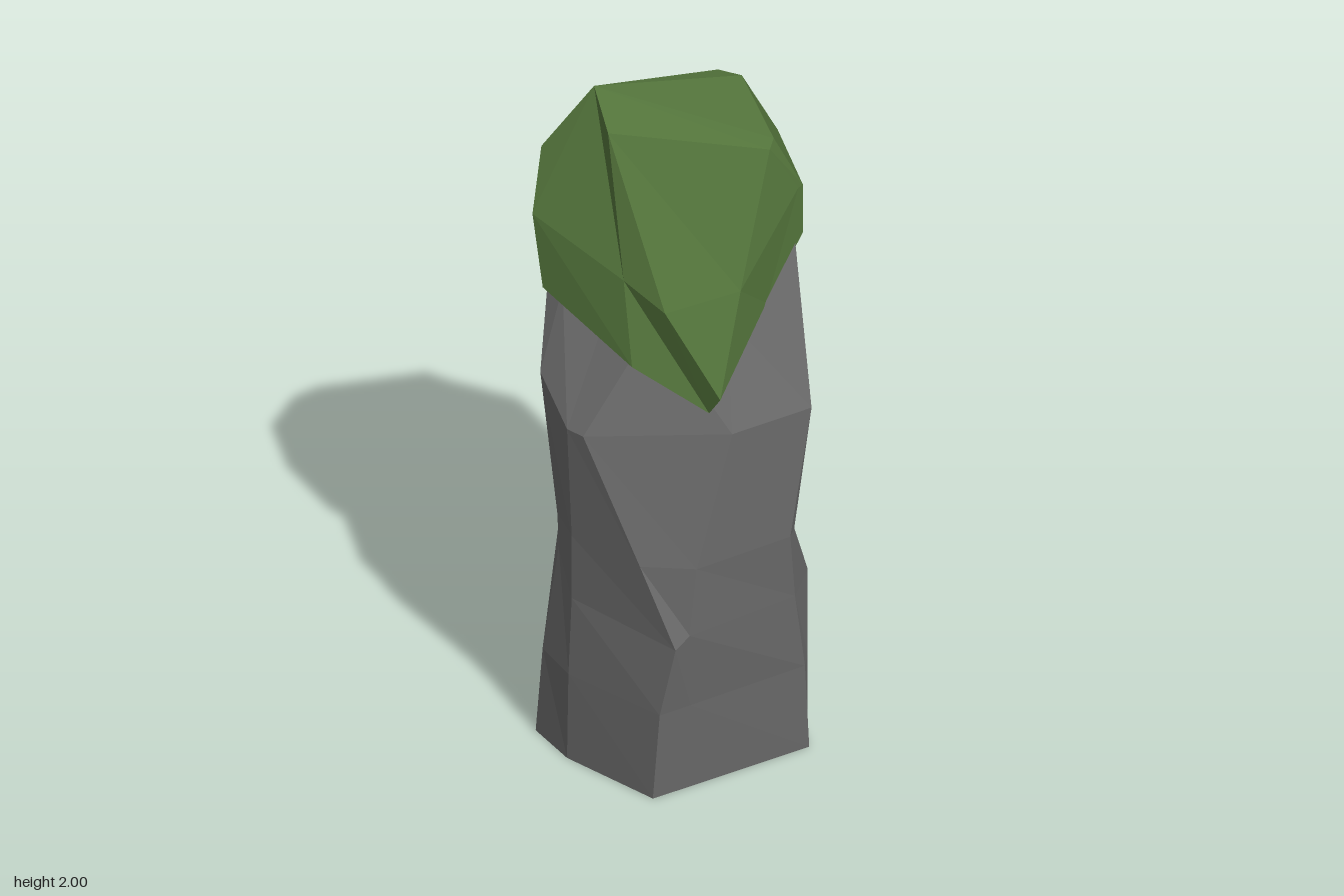
import * as THREE from 'three';

// Skins a stack of rings (bottom to top, equal point counts) and closes both ends.
function loft(rings, bottomCentre, topCentre) {
  const pos = [];
  const tri = (a, b, c) => {
    const area = new THREE.Triangle(
      new THREE.Vector3(...a), new THREE.Vector3(...b), new THREE.Vector3(...c)).getArea();
    if (area > 1e-7) pos.push(...a, ...b, ...c);
  };
  const n = rings[0].length, first = rings[0], last = rings[rings.length - 1];
  for (let i = 0; i < n; i++) {
    const k = (i + 1) % n;
    for (let j = 0; j < rings.length - 1; j++) {
      const a = rings[j][i], b = rings[j][k], c = rings[j + 1][i], d = rings[j + 1][k];
      tri(a, c, d);
      tri(a, d, b);
    }
    tri(bottomCentre, first[i], first[k]);
    tri(topCentre, last[k], last[i]);
  }
  const g = new THREE.BufferGeometry();
  g.setAttribute('position', new THREE.Float32BufferAttribute(pos, 3));
  g.computeVertexNormals();
  return g;
}

// Gives a plan outline of [x, z] pairs a height; a third value overrides it.
const level = (y, pts) => pts.map(([x, z, own]) => [x, own ?? y, z]);

// Outline part of the way from one ring to another, set at height y.
const between = (a, b, t, y) => a.map((p, i) =>
  [THREE.MathUtils.lerp(p[0], b[i][0], t), y, THREE.MathUtils.lerp(p[2], b[i][2], t)]);

export function createModel() {
  const model = new THREE.Group();

  // Rock pillar: rings run right, front, left, back
  const foot = level(0, [[0.42, -0.07], [0.3, 0.3], [0.26, 0.42], [-0.06, 0.42], [-0.22, 0.37],
    [-0.32, 0.23], [-0.42, -0.07], [-0.02, -0.38], [0.03, -0.345], [0.2, -0.225], [0.4, -0.085]]);
  const waist = level(0.53, [[0.41, -0.02], [0.32, 0.33], [0.31, 0.38, 0.5], [-0.06, 0.4],
    [-0.16, 0.34, 0.63], [-0.35, 0.1, 0.63], [-0.42, -0.07], [-0.14, -0.345], [0.05, -0.34],
    [0.2, -0.26], [0.345, -0.15]]);
  const notch = level(0.74, [[0.41, 0], [0.32, 0.3], [0.19, 0.395], [-0.06, 0.4], [-0.165, 0.34],
    [-0.35, 0.11], [-0.415, -0.07], [-0.14, -0.345, 0.82], [0.05, -0.34, 0.82],
    [0.17, -0.29, 0.85], [0.39, -0.04]]);
  const shoulders = level(1.14, [[0.42, -0.08], [0.34, 0.17], [0, 0.42, 1.11], [-0.06, 0.42, 1.11],
    [-0.22, 0.35, 1.2], [-0.34, 0.18], [-0.415, -0.08], [-0.05, -0.37], [0.02, -0.32],
    [0.2, -0.235], [0.4, -0.095]]);
  const neck = level(1.42, [[0.245, -0.21, 1.58], [0.22, 0.05], [0.08, 0.21], [-0.08, 0.21],
    [-0.24, 0.23], [-0.365, 0.13, 1.53], [-0.385, -0.02, 1.5], [-0.03, -0.31], [0.05, -0.3],
    [0.15, -0.26], [0.245, -0.21, 1.58]]);
  const rock = new THREE.Mesh(
    loft([foot, between(foot, waist, 0.3, 0.28), waist, notch, shoulders, neck],
      [0, 0, 0], [-0.05, 1.62, -0.02]),
    new THREE.MeshStandardMaterial({ color: 0x686868, flatShading: true }));
  rock.name = 'rockPillar';
  model.add(rock);

  // Moss cap: ragged hem, shoulder and tilted crown
  const right = [0.23, 1.91, -0.12], front = [-0.14, 1.94, 0.15];
  const peak = [-0.27, 2, 0.06], left = [-0.32, 1.91, -0.05];
  const hem = [[0.26, 1.43, -0.07], [0.33, 1.27, 0.21], [0.28, 1.2, 0.2], [0.07, 1.31, 0.29],
    [-0.28, 1.42, 0.27], [-0.35, 1.6, 0.23], [-0.425, 1.14, 0.01],
    [-0.34, 0.97, -0.17], [-0.02, 1.2, -0.41], [0.01, 1.25, -0.42], [0.25, 1.58, -0.24]];
  const bulge = [[0.25, 1.74, -0.22], [0.285, 1.55, 0.07], [0.15, 1.5, 0.24], [0, 1.55, 0.245],
    [-0.34, 1.63, 0.245], [-0.38, 1.8, 0.16], [-0.42, 1.72, 0],
    [-0.35, 1.72, -0.14], [-0.1, 1.78, -0.345], [0, 1.73, -0.42], [0.25, 1.74, -0.24]];
  const crown = [right, right, front, front, peak, peak, left, left,
    [-0.11, 1.95, -0.29], [-0.03, 1.96, -0.3], [0.21, 1.92, -0.16]];
  const moss = new THREE.Mesh(
    loft([hem, bulge, crown], [0, 1.4, 0], peak),
    new THREE.MeshStandardMaterial({ color: 0x53743b, flatShading: true, side: THREE.DoubleSide }));
  moss.name = 'mossCap';
  model.add(moss);

  return model;
}
